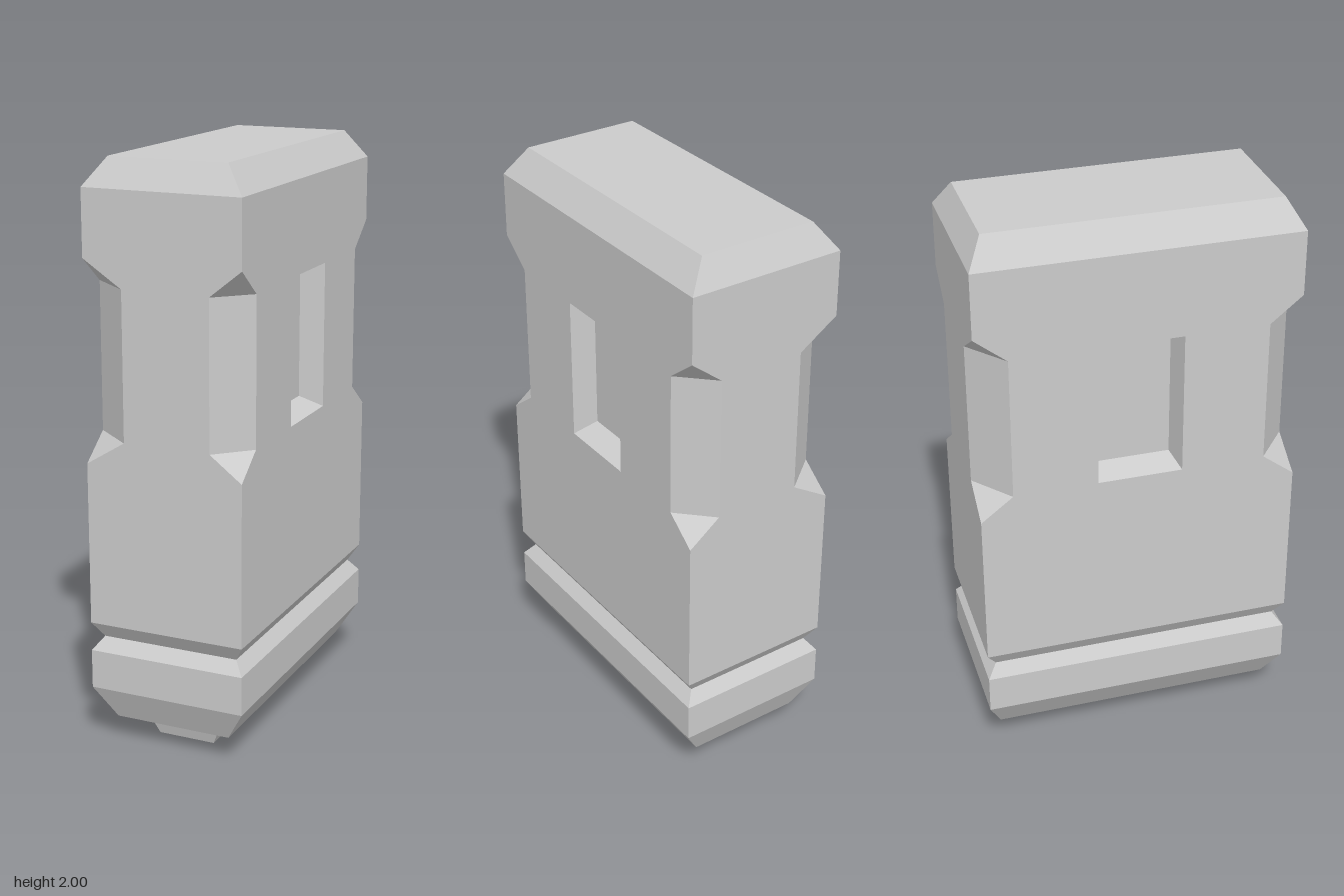
import * as THREE from 'three';

const X = 0.277, Z = 0.547;           // half width and half depth of the block
const CUT_L = 0.137, CUT_R = 0.112, CUT_Z = 0.111; // corner notch sizes
const NOTCH = [1.0, 1.085, 1.59, 1.68]; // heights of the corner notches

const material = () => new THREE.MeshStandardMaterial({ color: 0xcccccc, flatShading: true });

// Joins counter-clockwise rings of points; skip lists the edges left open.
function loft(rings, { start = false, end = false, skip = [] } = {}) {
  const out = [];
  const tri = (a, b, c) => {
    const area = b.clone().sub(a).cross(c.clone().sub(a)).length();
    if (area > 1e-8) for (const p of [a, b, c]) out.push(p.x, p.y, p.z);
  };
  const n = rings[0].length;
  for (let r = 0; r < rings.length - 1; r++) {
    for (let i = 0; i < n; i++) {
      if (skip.includes(i)) continue;
      const j = (i + 1) % n, a = rings[r], b = rings[r + 1];
      tri(a[i], a[j], b[j]);
      tri(a[i], b[j], b[i]);
    }
  }
  const first = rings[0], last = rings[rings.length - 1];
  for (let i = 1; i < n - 1; i++) {
    if (start) tri(first[0], first[i + 1], first[i]);
    if (end) tri(last[0], last[i], last[i + 1]);
  }
  const g = new THREE.BufferGeometry();
  g.setAttribute('position', new THREE.Float32BufferAttribute(out, 3));
  g.computeVertexNormals();
  return g;
}

// Horizontal rectangle at height y
const rect = (y, x, z, cz = 0) =>
  [[-x, z], [x, z], [x, -z], [-x, -z]].map(([a, b]) => new THREE.Vector3(a, y, b + cz));

// Upright rectangle at depth z
const upright = (z, w, y0, y1) =>
  [[-w, y0], [w, y0], [w, y1], [-w, y1]].map(([a, b]) => new THREE.Vector3(a, b, z));

// Body outline at height y, corners cut by the fraction k
const notched = (y, k) => {
  const l = -X + CUT_L * k, r = X - CUT_R * k, f = Z - CUT_Z * k;
  return [[l, Z], [r, Z], [X, f], [X, -f], [r, -Z], [l, -Z], [-X, -f], [-X, f]]
    .map(([a, b]) => new THREE.Vector3(a, y, b));
};

export function createModel() {
  const model = new THREE.Group();
  const add = (name, geometry, parent = model) => {
    const mesh = new THREE.Mesh(geometry, material());
    mesh.name = name;
    parent.add(mesh);
    return mesh;
  };

  // Bevelled base with the groove above it
  add('base', loft([
    rect(0.09, 0.207, 0.497), rect(0.205, X, Z), rect(0.34, X, Z),
    rect(0.385, 0.243, 0.513), rect(0.44, X, Z),
  ], { start: true }));

  // Front, back and notched corners; the sides are separate panels
  add('body', loft([
    notched(0.44, 0), notched(NOTCH[0], 0), notched(NOTCH[1], 1),
    notched(NOTCH[2], 1), notched(NOTCH[3], 0), notched(1.905, 0),
  ], { skip: [2, 6] }));

  // Bevelled top
  add('top', loft([rect(1.905, X, Z), rect(2, 0.207, 0.494)], { end: true }));

  // Side panels, each with a window recess
  for (const side of [1, -1]) {
    const group = new THREE.Group();
    group.name = side > 0 ? 'leftSide' : 'rightSide';
    group.position.x = side * X;
    group.rotation.y = side * Math.PI / 2;
    model.add(group);

    const f = Z - CUT_Z;
    const edge = [[Z, 0.44], [Z, NOTCH[0]], [f, NOTCH[1]], [f, NOTCH[2]], [Z, NOTCH[3]], [Z, 1.905]];
    const mirrored = edge.map(([a, b]) => [-a, b]).reverse();
    const shape = new THREE.Shape([...edge, ...mirrored].map(([a, b]) => new THREE.Vector2(a, b)));
    const outer = upright(0, 0.146, 1.085, 1.59);
    shape.holes.push(new THREE.Path(outer.map((p) => new THREE.Vector2(p.x, p.y)).reverse()));
    add('sidePanel', new THREE.ShapeGeometry(shape), group);
    add('windowRecess', loft([outer, upright(-0.082, 0.124, 1.118, 1.556)], { end: true }), group);
  }

  // Two tapered feet
  for (const s of [1, -1]) {
    add(s > 0 ? 'frontFoot' : 'backFoot', loft(
      [rect(0, 0.102, 0.075, s * 0.313), rect(0.09, 0.142, 0.102, s * 0.313)],
      { start: true, end: true }));
  }
  return model;
}
